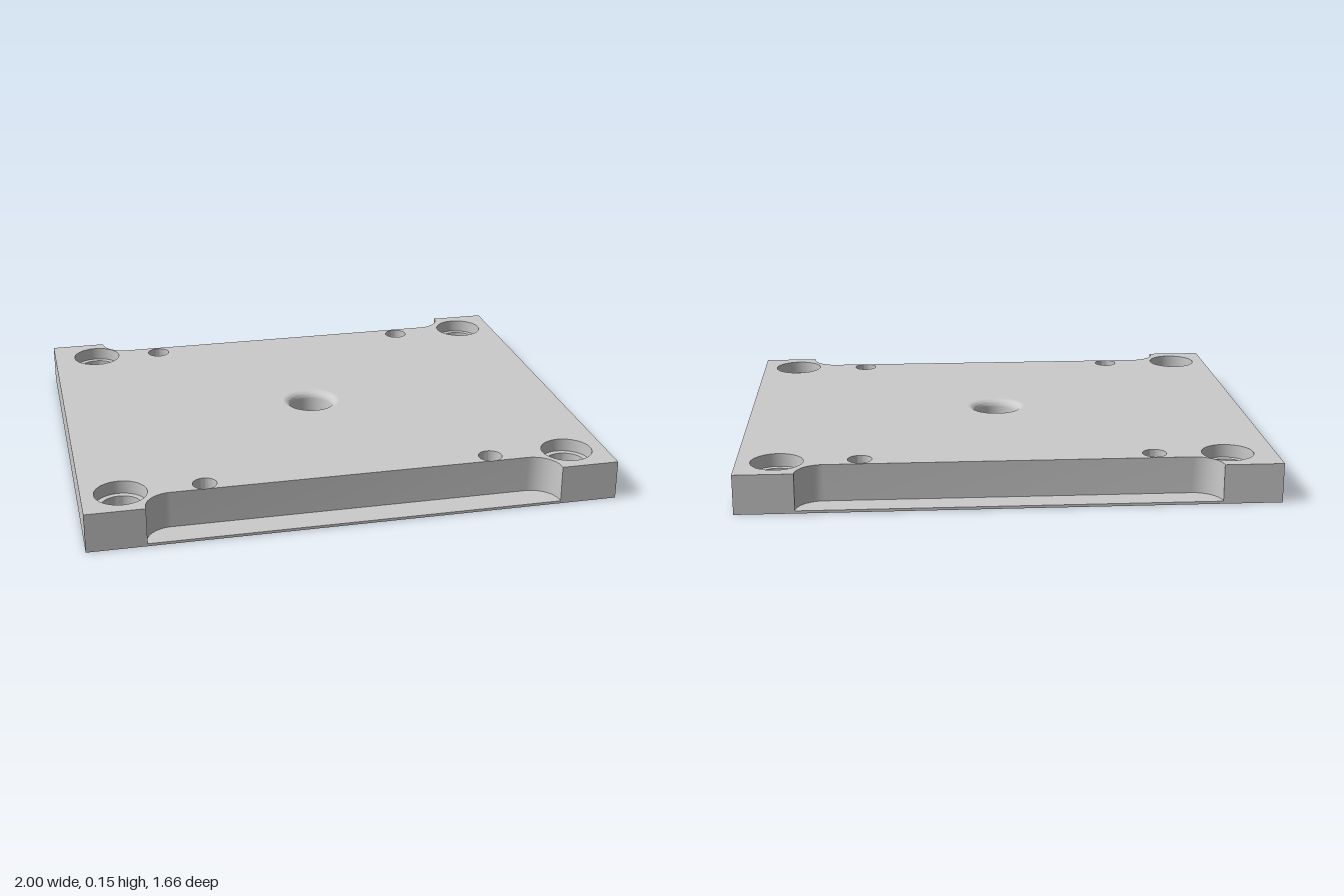
import * as THREE from 'three';
import { toCreasedNormals } from 'three/addons/utils/BufferGeometryUtils.js';

const W = 1, D = 0.83, H = 0.15;      // half width, half depth, thickness
const LIP = 0.01;                     // thin floor left under each edge notch
const SEG = 48;
const material = new THREE.MeshStandardMaterial({ color: 0xcccccc });
const v = (x, y) => new THREE.Vector2(x, y);

// Plan coordinates are (x, -z), counter-clockwise seen from above.
const notchX = 0.78, notchR = 0.1;
function notchPath(side, inner) {
  // rounded inner corners, running in the counter-clockwise sense of the outline
  const pts = [v(-notchX, -D)];
  const n = 12, cx = notchX - notchR, cy = -inner - notchR;
  for (let i = 0; i <= n; i++) {
    const a = Math.PI - (i / n) * Math.PI / 2;
    pts.push(v(-cx + notchR * Math.cos(a), cy + notchR * Math.sin(a)));
  }
  for (let i = 0; i <= n; i++) {
    const a = Math.PI / 2 - (i / n) * Math.PI / 2;
    pts.push(v(cx + notchR * Math.cos(a), cy + notchR * Math.sin(a)));
  }
  pts.push(v(notchX, -D));
  const clean = pts.filter((p, i) => i === 0 || p.distanceTo(pts[i - 1]) > 1e-4);
  return side === 'front' ? clean : clean.map((p) => v(-p.x, -p.y));
}

// Flat face at height y, facing up or down
function cap(points, holes, y, up = true) {
  const shape = new THREE.Shape(points);
  for (const [x, z, r] of holes) {
    shape.holes.push(new THREE.Path(Array.from({ length: SEG }, (_, i) => {
      const a = (i / SEG) * Math.PI * 2;
      return v(x + r * Math.sin(a), -z - r * Math.cos(a));
    })));
  }
  const geo = new THREE.ShapeGeometry(shape);
  if (!up) {
    const idx = geo.index.array;
    for (let i = 0; i < idx.length; i += 3) [idx[i], idx[i + 1]] = [idx[i + 1], idx[i]];
    geo.computeVertexNormals();
  }
  return geo.rotateX(-Math.PI / 2).translate(0, y, 0);
}

// Vertical wall along a plan path
function wall(points, y0, y1) {
  const pos = [];
  for (let i = 0; i < points.length - 1; i++) {
    const a = points[i], b = points[i + 1];
    pos.push(a.x, y0, -a.y, b.x, y0, -b.y, b.x, y1, -b.y);
    pos.push(a.x, y0, -a.y, b.x, y1, -b.y, a.x, y1, -a.y);
  }
  const geo = new THREE.BufferGeometry();
  geo.setAttribute('position', new THREE.Float32BufferAttribute(pos, 3));
  return toCreasedNormals(geo, 0.6);
}

// Hole lining turned from a profile that runs downwards, so it faces inwards
const lining = (profile, x, z) =>
  toCreasedNormals(new THREE.LatheGeometry(profile, SEG), 0.6).translate(x, 0, z);

export function createModel() {
  const group = new THREE.Group();
  group.name = 'mountingPlate';
  const add = (name, geo) => {
    const mesh = new THREE.Mesh(geo, material);
    mesh.name = name;
    group.add(mesh);
  };

  // Hole positions and radii
  const bolts = [[-0.82, -0.685], [0.85, -0.685], [-0.855, 0.685], [0.85, 0.685]];
  const pins = [[-0.547, -0.675], [0.547, -0.675], [-0.547, 0.675], [0.547, 0.675]];
  const boltR = 0.075, boreR = 0.097, boreY = 0.1;
  const pinR = 0.045, centreR = 0.085, filletR = 0.03;

  const front = notchPath('front', 0.72);
  const back = notchPath('back', 0.73);

  // Top and bottom faces
  add('topFace', cap(
    [v(-W, -D), ...front, v(W, -D), v(W, D), ...back, v(-W, D)],
    [...bolts.map(([x, z]) => [x, z, boreR]), ...pins.map(([x, z]) => [x, z, pinR]),
      [0, 0, centreR + filletR]], H));
  add('bottomFace', cap(
    [v(-W, -D), v(W, -D), v(W, D), v(-W, D)],
    [...bolts.map(([x, z]) => [x, z, boltR]), [0, 0, centreR]], 0, false));

  // Full-height sides, wrapping round to the notches
  const rightEnd = [v(notchX, -D), v(W, -D), v(W, D), v(notchX, D)];
  add('leftSide', wall(rightEnd, 0, H));
  add('rightSide', wall(rightEnd.map((p) => v(-p.x, -p.y)), 0, H));

  // Edge notches with their thin floors
  for (const [name, path] of [['front', front], ['back', back]]) {
    add(name + 'NotchWall', wall(path, LIP, H));
    add(name + 'NotchFloor', cap(path, [], LIP));
    add(name + 'NotchLip', wall([path[0], path[path.length - 1]], 0, LIP));
  }

  // Counterbored corner holes
  for (const [x, z] of bolts) {
    add('counterboredHole', lining(
      [v(boreR, H), v(boreR, boreY), v(boltR, boreY), v(boltR, 0)], x, z));
  }

  // Blind holes with drill-point bottoms
  for (const [x, z] of pins) {
    add('blindHole', lining([v(pinR, H), v(pinR, 0.06), v(0, 0.034)], x, z));
  }

  // Centre hole with a rounded upper rim
  const rim = Array.from({ length: 9 }, (_, i) => {
    const a = (i / 8) * Math.PI / 2;
    return v(centreR + filletR * (1 - Math.sin(a)), H - filletR * (1 - Math.cos(a)));
  });
  add('centreHole', lining([...rim, v(centreR, 0)], 0, 0));

  return group;
}
